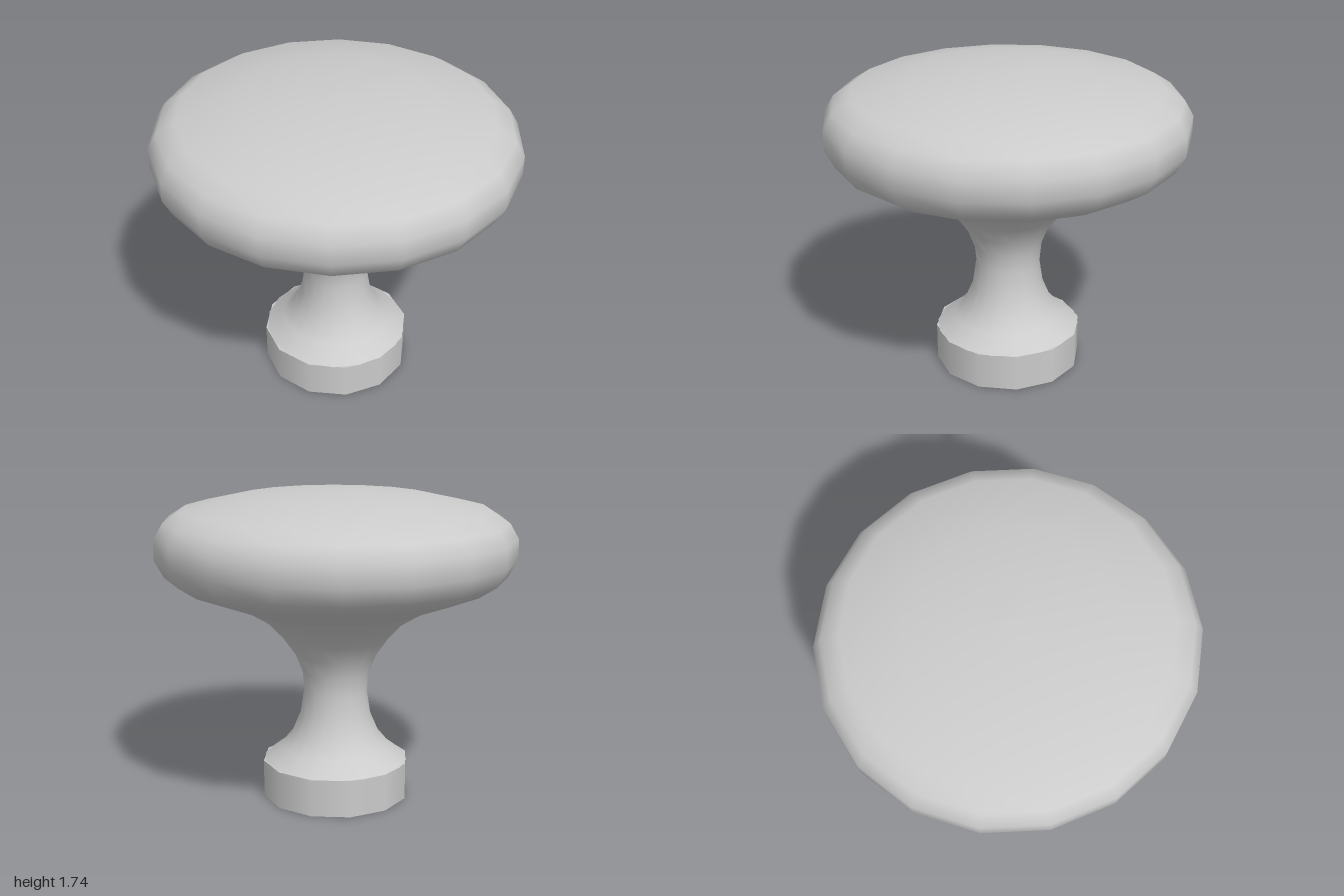
import * as THREE from 'three';

const material = new THREE.MeshStandardMaterial({ color: 0xcccccc });

// Depth of the slightly oval section at a given height
function depthScale(y) {
  const neck = Math.max(0, 1 - Math.abs(y - 0.7) / 0.4);
  return 0.985 - 0.06 * neck;
}

// Turned part with corners on the x axis
function turned(name, profile) {
  const points = profile.map(([r, y]) => new THREE.Vector2(r, y));
  const geometry = new THREE.LatheGeometry(points, 18, Math.PI / 2);
  const pos = geometry.attributes.position;
  for (let i = 0; i < pos.count; i++) {
    pos.setZ(i, pos.getZ(i) * depthScale(pos.getY(i)));
  }
  const mesh = new THREE.Mesh(geometry, material);
  mesh.name = name;
  return mesh;
}

export function createModel() {
  const knob = new THREE.Group();
  knob.name = 'knob';

  // Twelve-sided foot
  const base = new THREE.Mesh(new THREE.CylinderGeometry(0.415, 0.415, 0.21, 12), material);
  base.name = 'base';
  base.position.y = 0.105;
  knob.add(base);

  // Waisted stem flaring into the head
  knob.add(turned('stem', [
    [0.41, 0.21], [0.31, 0.285], [0.25, 0.36], [0.205, 0.47], [0.185, 0.61],
    [0.197, 0.72], [0.235, 0.82], [0.305, 0.92], [0.4, 1.02], [0.53, 1.1],
  ]));

  // Rounded head with a shallow domed top
  knob.add(turned('head', [
    [0.53, 1.1], [0.85, 1.22], [0.95, 1.285], [1, 1.38], [1, 1.49],
    [0.95, 1.575], [0.85, 1.638], [0.53, 1.708], [0.22, 1.735], [0, 1.74],
  ]));

  return knob;
}
